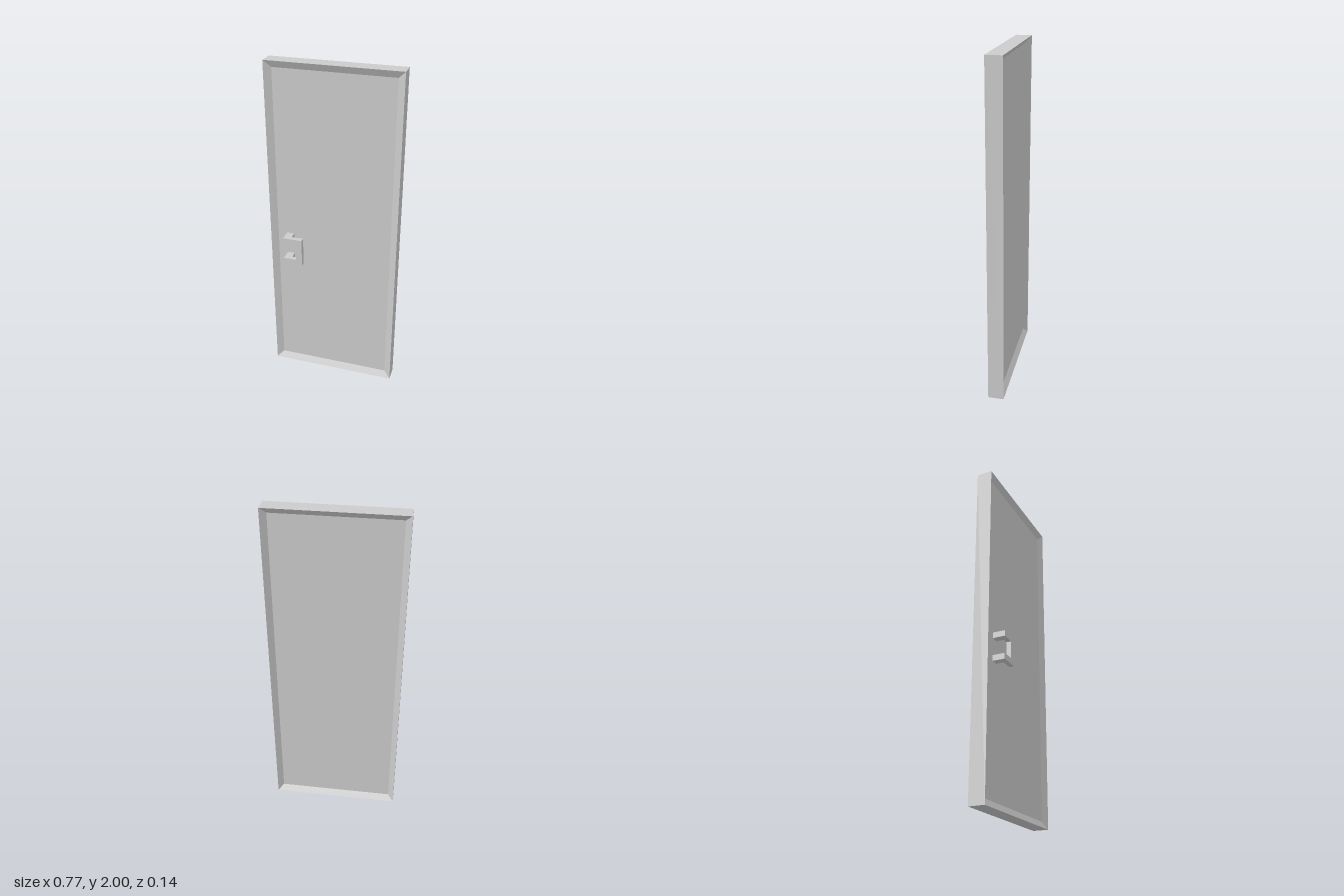
import * as THREE from 'three';

const material = new THREE.MeshStandardMaterial({ color: 0xcccccc, flatShading: true });

const HALF_W = 0.385, HEIGHT = 2, BACK = -0.073, FRONT = 0.02;

// Door leaf: rectangular rings from the sunken back panel, around the rim, to the sunken front panel
function leafGeometry() {
  const rings = [
    { inset: 0.034, z: BACK + 0.026 },
    { inset: 0, z: BACK },
    { inset: 0, z: FRONT },
    { inset: 0.04, z: FRONT - 0.022 },
  ].map(({ inset, z }) => {
    const x = HALF_W - inset, y0 = inset, y1 = HEIGHT - inset;
    return [[-x, y0, z], [x, y0, z], [x, y1, z], [-x, y1, z]];
  });
  const positions = [];
  const quad = (a, b, c, d) => positions.push(...a, ...b, ...c, ...a, ...c, ...d);
  for (let i = 0; i < rings.length - 1; i++) {
    for (let j = 0; j < 4; j++) {
      const k = (j + 1) % 4;
      quad(rings[i][j], rings[i][k], rings[i + 1][k], rings[i + 1][j]);
    }
  }
  quad(...rings[rings.length - 1]);
  quad(...[...rings[0]].reverse());
  const geometry = new THREE.BufferGeometry();
  geometry.setAttribute('position', new THREE.Float32BufferAttribute(positions, 3));
  geometry.computeVertexNormals();
  return geometry;
}

// Handle: C-shaped plate on two short feet
function createHandle() {
  const handle = new THREE.Group();
  handle.name = 'handle';
  const x0 = -0.29, x1 = -0.174, y0 = 0.79, y1 = 0.96, bar = 0.037, arm = 0.034;
  const plateBack = 0.043, plateFront = 0.072, footBack = -0.003, footW = 0.045;

  const shape = new THREE.Shape([
    [x0, y0], [x1, y0], [x1, y1], [x0, y1],
    [x0, y1 - arm], [x1 - bar, y1 - arm], [x1 - bar, y0 + arm], [x0, y0 + arm],
  ].map(([x, y]) => new THREE.Vector2(x, y)));
  const grip = new THREE.Mesh(
    new THREE.ExtrudeGeometry(shape, { depth: plateFront - plateBack, bevelEnabled: false }), material);
  grip.name = 'handleGrip';
  grip.position.z = plateBack;
  handle.add(grip);

  const footDepth = plateBack - footBack;
  for (const [name, y] of [['lowerFoot', y0 + arm / 2], ['upperFoot', y1 - arm / 2]]) {
    const foot = new THREE.Mesh(new THREE.BoxGeometry(footW, arm, footDepth), material);
    foot.name = name;
    foot.position.set(x0 + footW / 2, y, footBack + footDepth / 2);
    handle.add(foot);
  }
  return handle;
}

export function createModel() {
  const model = new THREE.Group();
  model.name = 'door';
  const leaf = new THREE.Mesh(leafGeometry(), material);
  leaf.name = 'doorLeaf';
  model.add(leaf, createHandle());
  return model;
}
